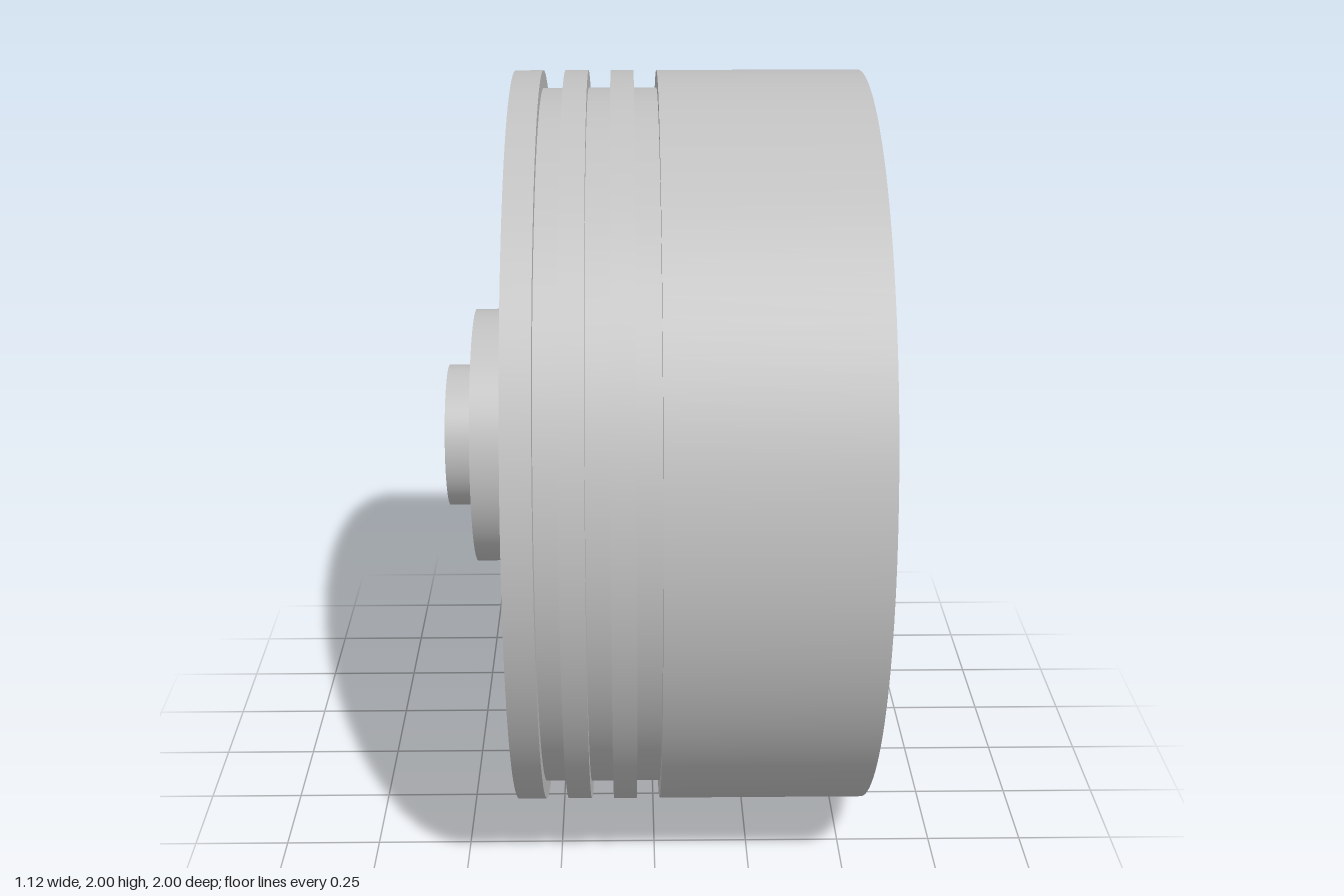
import * as THREE from 'three';

export function createModel() {
  const model = new THREE.Group();
  model.name = 'piston';
  const metal = new THREE.MeshStandardMaterial({ color: 0xc0c0c0 });
  metal.name = 'light grey metal';

  // Disc along x, from x0 to x1, centred at y = 1
  function disc(name, x0, x1, radius, open = false) {
    const geometry = new THREE.CylinderGeometry(radius, radius, x1 - x0, 128, 1, open);
    geometry.rotateZ(-Math.PI / 2);
    const mesh = new THREE.Mesh(geometry, metal);
    mesh.name = name;
    mesh.position.set((x0 + x1) / 2, 1, 0);
    model.add(mesh);
  }

  // Main body and the raised lands between the ring grooves
  disc('skirt', 0.015, 0.56, 1);
  [[-0.365, -0.29], [-0.23, -0.168], [-0.108, -0.047]].forEach(([a, b], i) =>
    disc('land' + (i + 1), a, b, 1));

  // Floor of the three grooves
  [[-0.29, -0.23], [-0.168, -0.108], [-0.047, 0.015]].forEach(([a, b], i) =>
    disc('grooveFloor' + (i + 1), a, b, 0.953, true));

  // Stepped hub
  disc('hub', -0.483, -0.365, 0.35);
  disc('hubTip', -0.56, -0.483, 0.195);

  return model;
}
